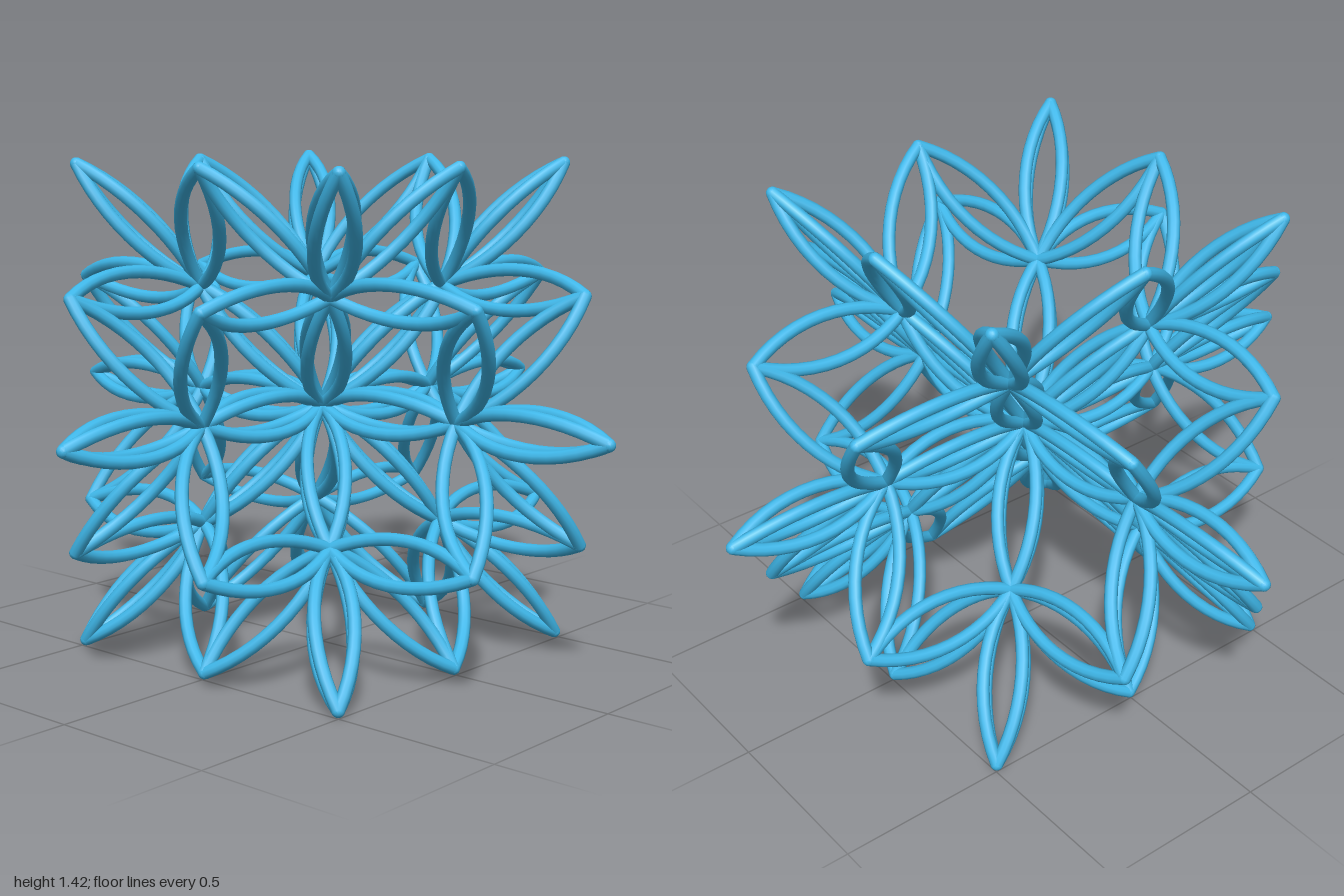
import * as THREE from 'three';

const STEP = 0.491;   // distance between neighbouring nodes, also the arc radius
const WIRE = 0.0185;  // tube radius

const material = new THREE.MeshStandardMaterial({ color: 0x3fb8ea, side: THREE.DoubleSide });
const arcGeometry = new THREE.TorusGeometry(STEP, WIRE, 10, 12, Math.PI / 3);
const tipGeometry = new THREE.SphereGeometry(WIRE, 10, 8);

// Point at a hexagonal direction (k * 60 degrees)
const hexDir = (k) => new THREE.Vector3(
  Math.cos(k * Math.PI / 3) * STEP, Math.sin(k * Math.PI / 3) * STEP, 0);

// One 60 degree arc whose circle lies to the left of the line from p along direction k
function addArc(parent, p, k) {
  const arc = new THREE.Mesh(arcGeometry, material);
  arc.name = 'petalArc';
  arc.position.copy(p).add(hexDir(k + 1));
  arc.rotation.z = (k + 4) * Math.PI / 3;
  parent.add(arc);
}

// A petal is two mirrored arcs meeting at both ends
function addPetal(parent, p, k) {
  const petal = new THREE.Group();
  petal.name = 'petal';
  addArc(petal, p, k);
  addArc(petal, p.clone().add(hexDir(k)), k + 3);
  parent.add(petal);
}

function addTip(parent, p) {
  const tip = new THREE.Mesh(tipGeometry, material);
  tip.name = 'petalTip';
  tip.position.copy(p);
  parent.add(tip);
}

// Flat flower: six inner petals, each branching into three outer petals
function createFlower() {
  const flower = new THREE.Group();
  flower.name = 'flower';
  const centre = new THREE.Vector3();
  for (let k = 0; k < 6; k++) {
    const node = hexDir(k);
    addPetal(flower, centre, k);
    for (const turn of [-1, 0, 1]) addPetal(flower, node, k + turn);
    addTip(flower, node.clone().add(hexDir(k)));
    addTip(flower, node.clone().add(hexDir(k + 1)));
  }
  return flower;
}

export function createModel() {
  const model = new THREE.Group();
  model.name = 'flowerLattice';
  // Four flowers on the hexagonal planes of a cuboctahedron
  const tilt = Math.atan(Math.SQRT1_2);
  for (const turn of [0, Math.PI / 2]) {
    const pair = new THREE.Group();
    pair.name = 'flowerPair';
    pair.rotation.y = turn;
    for (const side of [-1, 1]) {
      const flower = createFlower();
      flower.rotation.x = side * tilt;
      pair.add(flower);
    }
    model.add(pair);
  }
  model.position.y = STEP * Math.SQRT2 + WIRE;
  const root = new THREE.Group();
  root.name = 'model';
  root.add(model);
  return root;
}
